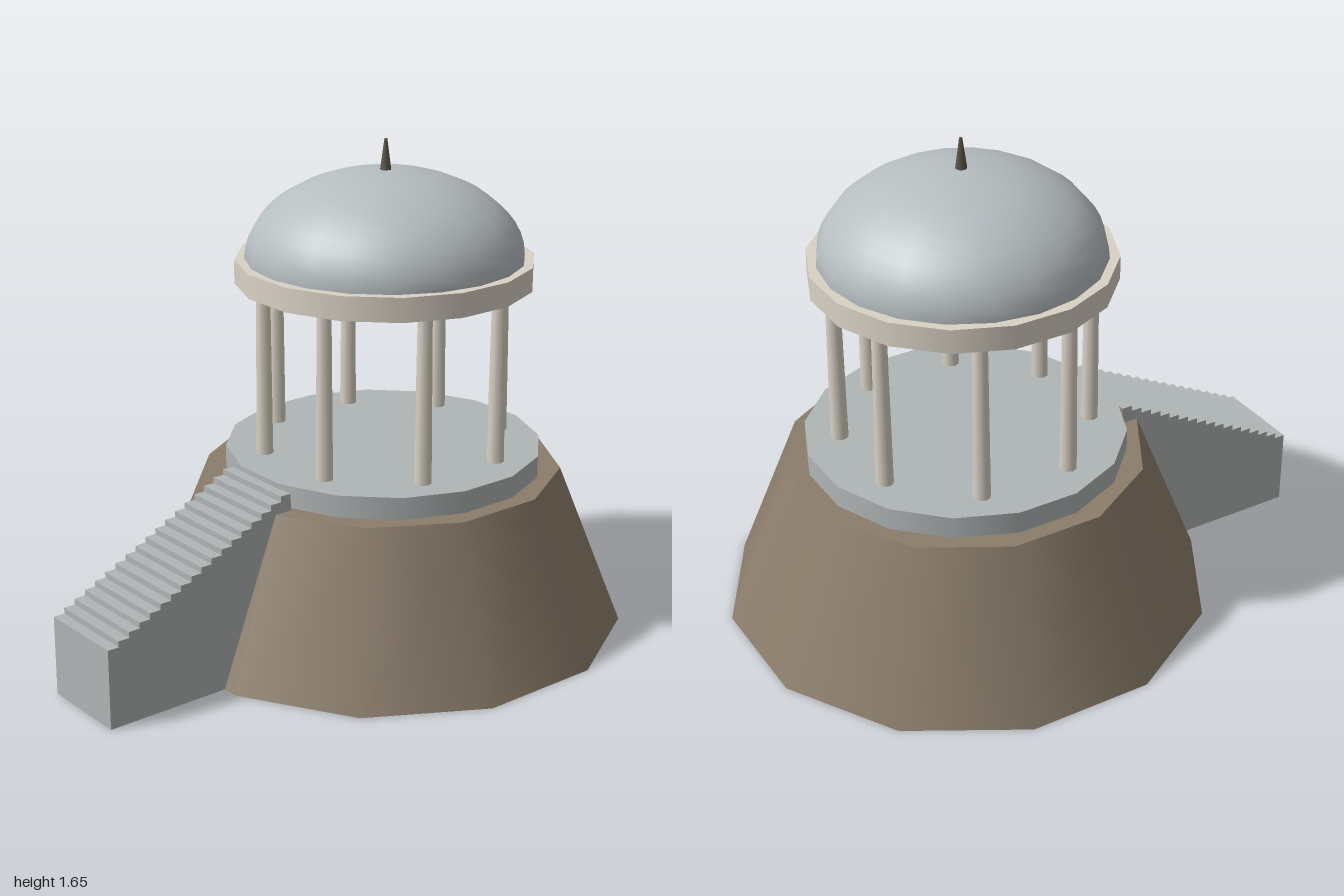
import * as THREE from 'three';

const CENTER_Z = -0.215;

function material(name, color, side = THREE.FrontSide) {
  const m = new THREE.MeshStandardMaterial({ color, side });
  m.name = name;
  return m;
}

export function createModel() {
  const rock = material('brown rock', 0x8b7d6b, THREE.DoubleSide);
  const stone = material('grey stone', 0xb0b5b5, THREE.DoubleSide);
  const cream = material('cream marble', 0xd9d2c5);
  const roof = material('pale blue grey roof', 0xb6bdc0);
  const bronze = material('dark bronze', 0x5c5548);

  const model = new THREE.Group();
  model.name = 'hilltopRotunda';
  const rotunda = new THREE.Group();
  rotunda.name = 'rotunda';
  rotunda.position.z = CENTER_Z;
  model.add(rotunda);

  const add = (name, geometry, mat, parent = rotunda) => {
    const mesh = new THREE.Mesh(geometry, mat);
    mesh.name = name;
    parent.add(mesh);
    return mesh;
  };

  // Polygonal drum with a flat side facing forward, from y0 to y1
  const drum = (rTop, rBottom, y0, y1, sides, open = false) =>
    new THREE.CylinderGeometry(rTop, rBottom, y1 - y0, sides, 1, open)
      .rotateY(Math.PI / sides).translate(0, (y0 + y1) / 2, 0);

  // Hollow rock mound, open underneath
  add('moundWall', drum(0.595, 0.813, 0, 0.545, 12, true), rock);
  add('moundTop', new THREE.CircleGeometry(0.595, 12)
    .rotateX(-Math.PI / 2).rotateY(Math.PI / 12).translate(0, 0.545, 0), rock);

  // Platform
  add('platform', drum(0.53, 0.53, 0.546, 0.62, 16), stone);

  // Ring of eight tapered columns
  const columns = new THREE.Group();
  columns.name = 'columns';
  rotunda.add(columns);
  const columnGeometry = drum(0.024, 0.029, 0.62, 1.18, 10);
  for (let i = 0; i < 8; i++) {
    const a = (i + 0.5) * Math.PI / 4;
    add('column', columnGeometry, cream, columns)
      .position.set(0.412 * Math.sin(a), 0, 0.412 * Math.cos(a));
  }

  // Entablature, dome and spire
  add('entablature', drum(0.493, 0.493, 1.18, 1.26, 16), cream);
  add('dome', new THREE.SphereGeometry(0.46, 20, 12, 0, Math.PI * 2, 0, Math.PI / 2)
    .scale(1, 0.29 / 0.46, 1).translate(0, 1.26, 0), roof);
  add('spire', drum(0.005, 0.02, 1.54, 1.65, 8), bronze);

  // Staircase: stepped side profile, extruded across, open at its back
  const steps = 18, zBack = 0.3, zFront = 1, width = 0.31;
  const run = (zFront - zBack) / steps, rise = 0.0197;
  const profile = new THREE.Shape();
  profile.moveTo(zBack, 0);
  profile.lineTo(zFront, 0);
  for (let i = 0; i < steps; i++) {
    const y = 0.267 + i * rise;
    profile.lineTo(zFront - i * run, y);
    profile.lineTo(i === steps - 1 ? zBack : zFront - (i + 1) * run, y);
  }
  const solid = new THREE.ExtrudeGeometry(profile, { depth: width, bevelEnabled: false });
  const source = solid.toNonIndexed ? (solid.index ? solid.toNonIndexed() : solid) : solid;
  const p = source.attributes.position;
  const kept = [];
  for (let i = 0; i < p.count; i += 3) {
    const corners = [i, i + 1, i + 2];
    if (corners.every((k) => Math.abs(p.getX(k) - zBack) < 1e-5)) continue;
    for (const k of corners) kept.push(p.getX(k), p.getY(k), p.getZ(k));
  }
  const stairs = new THREE.BufferGeometry();
  stairs.setAttribute('position', new THREE.Float32BufferAttribute(kept, 3));
  stairs.computeVertexNormals();
  stairs.rotateY(-Math.PI / 2).translate(width / 2, 0, 0);
  add('staircase', stairs, stone, model);

  return model;
}
